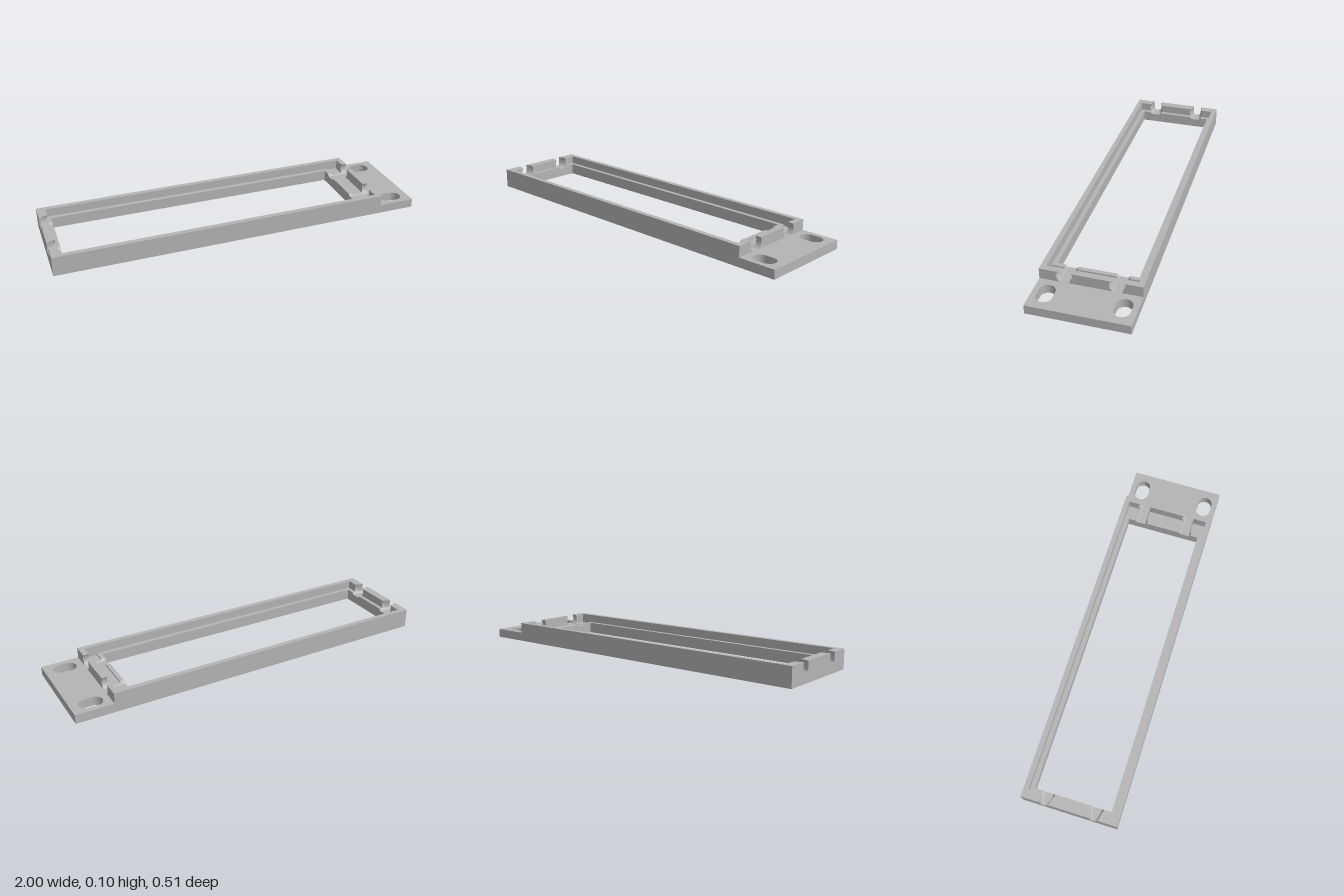
import * as THREE from 'three';

const FLOOR = 0.048, LEDGE = 0.06, TOP = 0.105;
const HALF_W = 0.255, INNER_W = 0.228, OPEN_W = 0.205, NOTCH_Z = 0.13;

// half width of a notch at height y: wide round bore, narrow U slot
const wideBore = y => Math.sqrt(Math.max(0, 0.041 ** 2 - (y - 0.083) ** 2));
const narrowSlot = y => (y > 0.07 ? 0.022 : Math.sqrt(Math.max(0, 0.022 ** 2 - (y - 0.07) ** 2)));

export function createModel() {
  const model = new THREE.Group();
  const grey = new THREE.MeshStandardMaterial({ color: 0xb4b4b4 });
  grey.name = 'grey plastic';

  const add = (name, geometry) => {
    const mesh = new THREE.Mesh(geometry, grey);
    mesh.name = name;
    model.add(mesh);
  };
  const box = (name, x0, x1, y0, y1, z0, z1) => {
    const g = new THREE.BoxGeometry(x1 - x0, y1 - y0, z1 - z0);
    g.translate((x0 + x1) / 2, (y0 + y1) / 2, (z0 + z1) / 2);
    add(name, g);
  };

  // base plate with the large opening and two mounting slots
  const rect = (path, x0, x1, w) => path.moveTo(x0, -w).lineTo(x1, -w).lineTo(x1, w).lineTo(x0, w).closePath();
  const plate = rect(new THREE.Shape(), -1, 1, HALF_W);
  plate.holes.push(rect(new THREE.Path(), -0.933, 0.685, OPEN_W));
  for (const side of [-1, 1]) {
    const slot = new THREE.Path();
    slot.absarc(0.917, side * 0.187, 0.04, -Math.PI / 2, Math.PI / 2);
    slot.absarc(0.875, side * 0.187, 0.04, Math.PI / 2, Math.PI * 1.5);
    slot.closePath();
    plate.holes.push(slot);
  }
  const base = new THREE.ExtrudeGeometry(plate, { depth: FLOOR, bevelEnabled: false, curveSegments: 20 });
  base.rotateX(-Math.PI / 2);
  add('basePlate', base);

  // long side walls and the ledges inside them
  for (const s of [-1, 1]) {
    const span = (a, b) => (s > 0 ? [a, b] : [-b, -a]);
    box('sideWall', -1, 0.8, FLOOR, TOP, ...span(INNER_W, HALF_W));
    box('sideLedge', -0.955, 0.707, FLOOR, LEDGE, ...span(OPEN_W, INNER_W));
  }

  // cross bar in three blocks, the faces beside each notch bent to its outline
  const notchedBar = (name, x0, x1, top, half) => {
    const pieces = [[-1, 0], [0, 0], [0, 1]];
    pieces.forEach(([outerLow, outerHigh]) => {
      const g = new THREE.BoxGeometry(1, 1, 1, 8, 14, 1);
      const p = g.attributes.position;
      for (let i = 0; i < p.count; i++) {
        const x = x0 + (p.getX(i) + 0.5) * (x1 - x0);
        const y = FLOOR + (p.getY(i) + 0.5) ** 1.5 * (top - FLOOR);
        const h = half(x, y);
        const low = outerLow ? -INNER_W : outerHigh ? NOTCH_Z + h : -NOTCH_Z + h;
        const high = outerHigh ? INNER_W : outerLow ? -NOTCH_Z - h : NOTCH_Z - h;
        p.setXYZ(i, x, y, p.getZ(i) < 0 ? low : high);
      }
      g.computeVertexNormals();
      add(name, g);
    });
  };
  const straight = (x, y) => wideBore(y);
  const flared = (x, y) => {
    const t = Math.sin(Math.min(1, (x + 1) / 0.06) * Math.PI / 2);
    return THREE.MathUtils.lerp(narrowSlot(y), wideBore(y), t);
  };
  notchedBar('plainEndWall', -1, -0.955, TOP, flared);
  notchedBar('plainEndLedge', -0.955, -0.933, LEDGE, flared);
  notchedBar('tabEndWall', 0.77, 0.8, TOP, straight);
  notchedBar('tabEndChannelFloor', 0.707, 0.77, 0.052, straight);
  notchedBar('tabEndLip', 0.685, 0.707, LEDGE, straight);

  return model;
}
